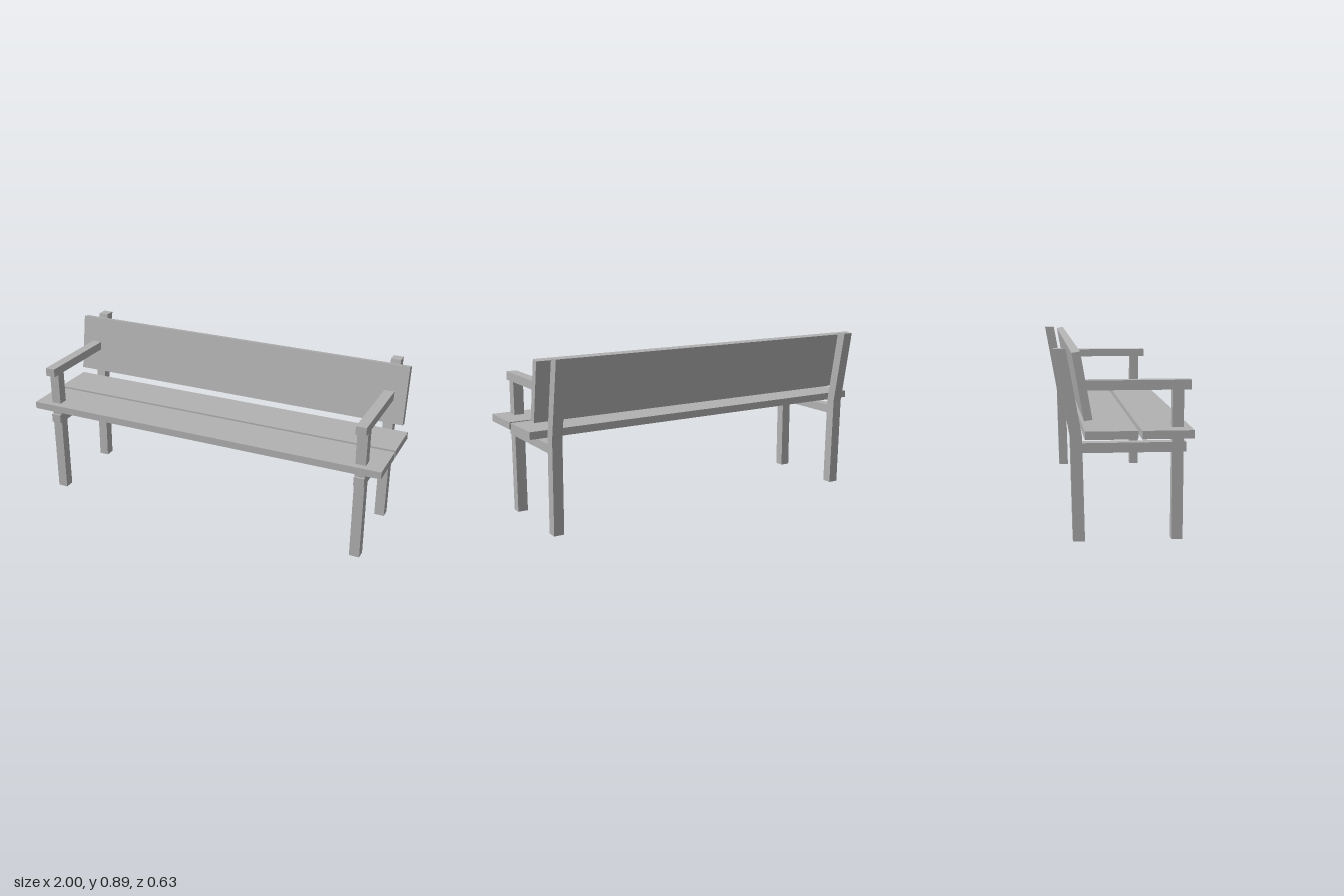
import * as THREE from 'three';

export function createModel() {
  const bench = new THREE.Group();
  bench.name = 'bench';
  const grey = new THREE.MeshStandardMaterial({ color: 0xb2b2b2 });
  grey.name = 'grey';

  const add = (name, geometry, parent) => {
    const mesh = new THREE.Mesh(geometry, grey);
    mesh.name = name;
    parent.add(mesh);
    return mesh;
  };

  // Box given by its width and its y and z ranges
  const beam = (name, width, y0, y1, z0, z1, parent) => {
    const mesh = add(name, new THREE.BoxGeometry(width, y1 - y0, z1 - z0), parent);
    mesh.position.set(0, (y0 + y1) / 2, (z0 + z1) / 2);
    return mesh;
  };

  // Seat planks
  beam('frontSeatPlank', 2, 0.49, 0.528, 0.077, 0.315, bench);
  beam('rearSeatPlank', 2, 0.49, 0.528, -0.18, 0.059, bench);

  // Tilted backrest board
  const back = add('backrest', new THREE.BoxGeometry(1.954, 0.31, 0.0385), bench);
  back.position.set(0, 0.727, -0.19);
  back.rotation.x = THREE.MathUtils.degToRad(-10);

  // Side profile of the bent rear post, as (z, y)
  const post = [
    [-0.175, 0], [-0.187, 0.49], [-0.259, 0.89],
    [-0.314, 0.89], [-0.242, 0.49], [-0.23, 0],
  ];
  const width = 0.054;
  const shape = new THREE.Shape(post.map(([z, y]) => new THREE.Vector2(-z, y)));

  // Two identical side frames
  for (const side of [-1, 1]) {
    const frame = new THREE.Group();
    frame.name = side > 0 ? 'leftFrame' : 'rightFrame';
    frame.position.x = side * 0.885;
    bench.add(frame);

    beam('frontLeg', width, 0, 0.701, 0.227, 0.28, frame);
    beam('armrest', width, 0.701, 0.746, -0.18, 0.315, frame);
    beam('seatRail', width, 0.414, 0.46, -0.19, 0.293, frame);

    const geometry = new THREE.ExtrudeGeometry(shape, { depth: width, bevelEnabled: false });
    geometry.translate(0, 0, -width / 2);
    geometry.rotateY(Math.PI / 2);
    add('rearPost', geometry, frame);
  }
  return bench;
}
